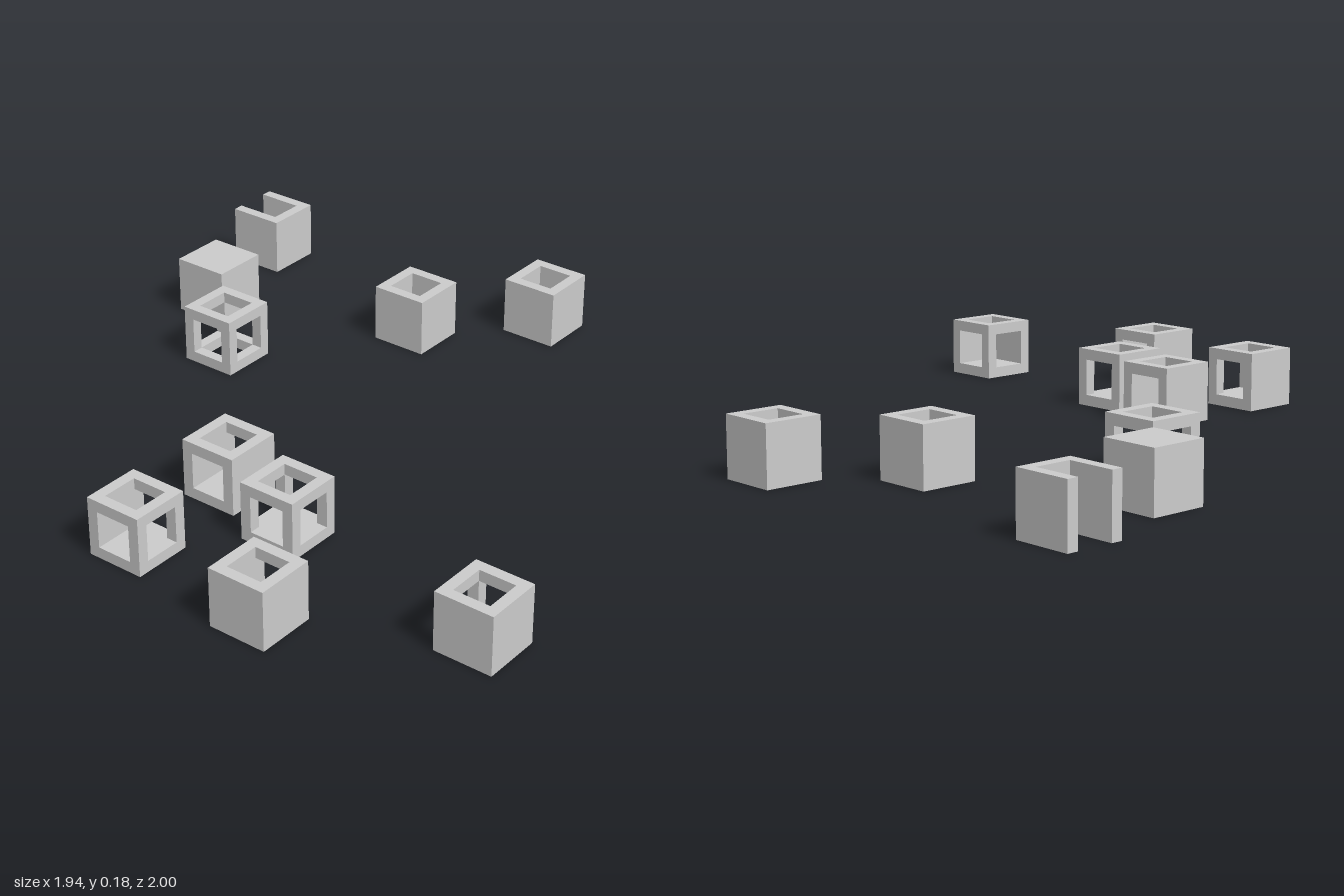
import * as THREE from 'three';
import { mergeGeometries } from 'three/addons/utils/BufferGeometryUtils.js';

const SIZE = 0.178, HALF = SIZE / 2; // outer cube
const HOLE = 0.111, INNER = HOLE / 2; // cavity and window
const WALL = HALF - INNER;

// Rotations that turn a face looking along +z to each side
const SIDES = {
  front: [0, 0], back: [0, Math.PI],
  left: [0, Math.PI / 2], right: [0, -Math.PI / 2],
  top: [-Math.PI / 2, 0], bottom: [Math.PI / 2, 0],
};

const material = new THREE.MeshStandardMaterial({ color: 0xcccccc, flatShading: true });

const square = (Type, h) => new Type([
  new THREE.Vector2(-h, -h), new THREE.Vector2(h, -h),
  new THREE.Vector2(h, h), new THREE.Vector2(-h, h),
]);

// Closed wall: outer skin and the cavity face behind it
function closedFace() {
  return [
    new THREE.PlaneGeometry(SIZE, SIZE).translate(0, 0, HALF),
    new THREE.PlaneGeometry(HOLE, HOLE).rotateY(Math.PI).translate(0, 0, INNER),
  ];
}

// Wall with a square window: outer frame and four reveals
function openFace() {
  const frame = square(THREE.Shape, HALF);
  frame.holes.push(square(THREE.Path, INNER));
  const parts = [new THREE.ShapeGeometry(frame).translate(0, 0, HALF)];
  for (let i = 0; i < 4; i++) {
    parts.push(new THREE.PlaneGeometry(HOLE, WALL)
      .rotateX(-Math.PI / 2)
      .translate(0, -INNER, INNER + WALL / 2)
      .rotateZ(i * Math.PI / 2));
  }
  return parts;
}

// Hollow cube with windows on the listed sides
function hollowCube(open) {
  const parts = [];
  for (const [side, [rx, ry]] of Object.entries(SIDES)) {
    const face = open.includes(side) ? openFace() : closedFace();
    face.forEach((g) => parts.push(g.rotateX(rx).rotateY(ry)));
  }
  return mergeGeometries(parts);
}

// Three-walled channel, open at the back, top and bottom
function channel() {
  const outline = new THREE.Shape([
    [-HALF, -HALF], [HALF, -HALF], [HALF, HALF], [INNER, HALF],
    [INNER, -INNER], [-INNER, -INNER], [-INNER, HALF], [-HALF, HALF],
  ].map(([x, y]) => new THREE.Vector2(x, y)));
  return new THREE.ExtrudeGeometry(outline, { depth: SIZE, bevelEnabled: false })
    .translate(0, 0, -HALF)
    .rotateX(-Math.PI / 2);
}

export function createModel() {
  const model = new THREE.Group();
  model.name = 'scatteredCubes';

  const add = (name, geometry, x, z) => {
    const mesh = new THREE.Mesh(geometry, material);
    mesh.name = name;
    mesh.position.set(x, HALF, z);
    model.add(mesh);
  };

  // Windowed cubes: name, x, z, open sides
  const cubes = [
    ['teeCube', -0.833, -0.058, ['top', 'front', 'left', 'right']],
    ['tunnelCube', -0.459, -0.058, ['top', 'left', 'right']],
    ['crossCube', -0.53, 0.21, ['top', 'front', 'back', 'left', 'right']],
    ['sideWindowCube', -0.884, 0.407, ['top', 'left']],
    ['cornerCube', -0.618, 0.911, ['top', 'left', 'back']],
    ['cupCube', 0.594, -0.2, ['top']],
    ['shaftCube', 0.883, 0.087, ['top', 'bottom']],
    ['frameCube', 0.13, -0.576, Object.keys(SIDES)],
  ];
  for (const [name, x, z, open] of cubes) add(name, hollowCube(open), x, z);

  add('solidCube', new THREE.BoxGeometry(SIZE, SIZE, SIZE), 0.363, -0.808);
  add('channelCube', channel(), 0.755, -0.911);

  return model;
}
